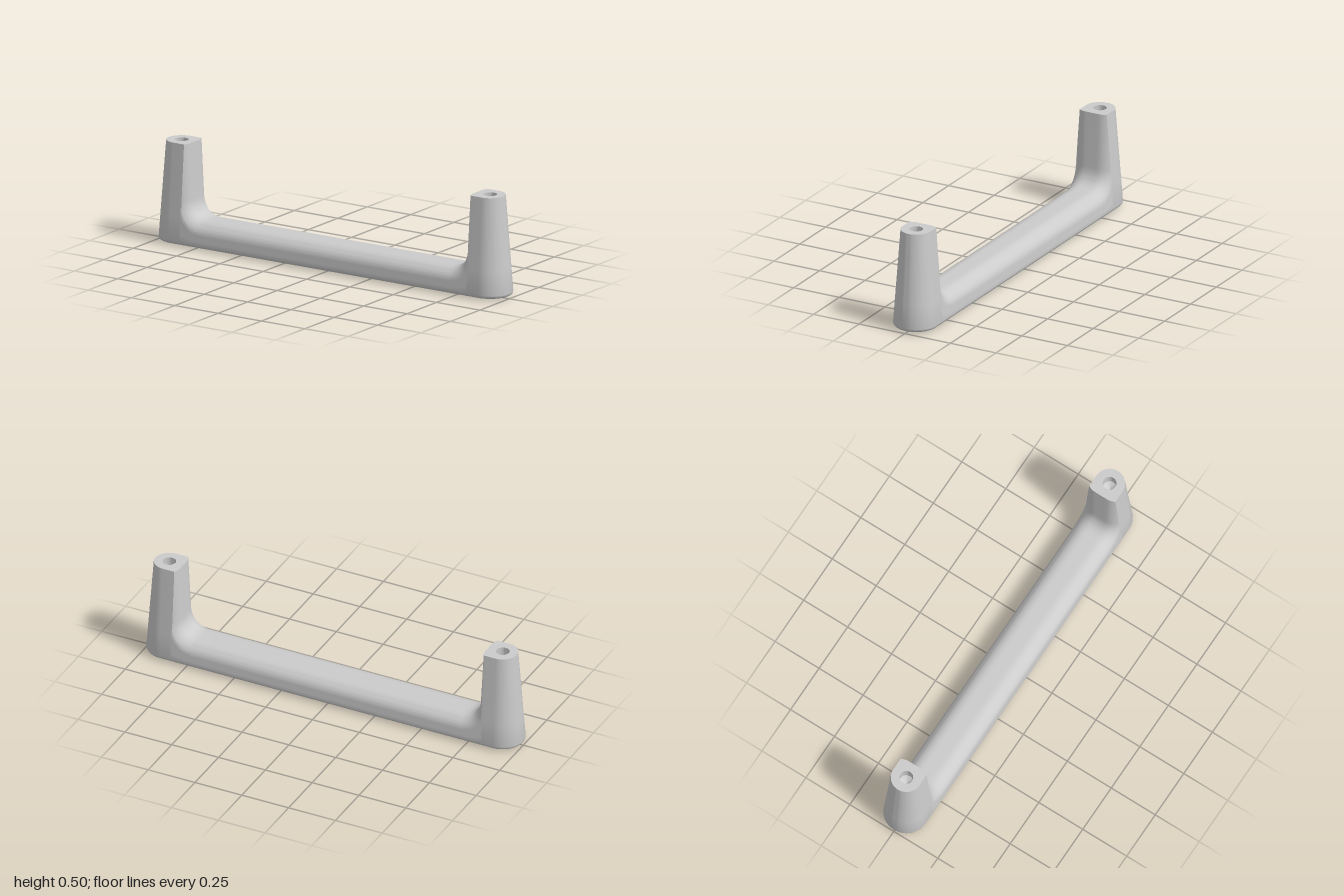
import * as THREE from 'three';
import { toCreasedNormals } from 'three/addons/utils/BufferGeometryUtils.js';

const CORE = 0.89;   // x of each leg axis
const TOP = 0.5;     // height of the mounting faces
const HOLE = 0.033;  // screw hole radius
const ACROSS = 24;   // divisions across the inner surface

// Drafted half width of the handle at a height
const halfWidth = (y) => 0.11 - 0.075 * (y - 0.025);
// How far the inner surface falls away from its flat middle towards the rounded edges
const drop = (z) => {
  const d = Math.min(0.076, Math.max(0, Math.abs(z) - 0.034));
  return 0.076 - Math.sqrt(0.076 ** 2 - d ** 2);
};

// Inner centre line: down one leg, around the bend, along the bar, then mirrored
function innerPath() {
  const v = (x, y) => new THREE.Vector2(x, y);
  const pieces = [
    [new THREE.LineCurve(v(0.815, TOP), v(0.8, 0.225)), 8],
    [new THREE.CubicBezierCurve(v(0.8, 0.225), v(0.797, 0.17), v(0.765, 0.135), v(0.71, 0.135)), 16],
    [new THREE.LineCurve(v(0.71, 0.135), v(0, 0.135)), 8],
  ];
  const half = [];
  pieces.forEach(([curve, n], k) => {
    for (let i = k ? 1 : 0; i <= n; i++) {
      const p = curve.getPoint(i / n), t = curve.getTangent(i / n);
      half.push({ x: p.x, y: p.y, nx: t.y, ny: -t.x });
    }
  });
  const mirrored = half.slice(0, -1).reverse().map((s) => ({ x: -s.x, y: s.y, nx: -s.nx, ny: s.ny }));
  return [...half, ...mirrored];
}

// Point on the inner surface; t runs from -1 (back) to 1 (front)
function innerPoint(s, t) {
  let y = s.y, z = 0;
  for (let k = 0; k < 10; k++) {
    z = t * halfWidth(y);
    y = s.y === TOP ? TOP : s.y - s.ny * drop(z);
  }
  return new THREE.Vector3(s.x - s.nx * drop(z), y, z);
}

// One row of points across the inner surface, front to back
const innerRow = (s) => Array.from({ length: ACROSS + 1 },
  (_, j) => innerPoint(s, Math.cos((j / ACROSS) * Math.PI)));

// Adds the quads between neighbouring columns of points
function addGrid(out, columns) {
  for (let i = 0; i + 1 < columns.length; i++) {
    for (let j = 0; j + 1 < columns[i].length; j++) {
      const a = columns[i][j], b = columns[i + 1][j], c = columns[i + 1][j + 1], d = columns[i][j + 1];
      for (const p of [a, c, b, a, d, c]) out.push(p.x, p.y, p.z);
    }
  }
}

// Half circle of rim points around a leg: back to front on the +x leg, front to back on the other
function legRim(side) {
  const rim = [];
  for (let i = 0; i <= 32; i++) {
    const a = (i / 32) * Math.PI;
    rim.push({ core: side * CORE, dx: side * Math.sin(a), dz: -side * Math.cos(a), y: TOP });
  }
  return rim;
}

export function createModel() {
  const group = new THREE.Group();
  const material = new THREE.MeshStandardMaterial({ color: 0xcccccc });
  const add = (name, geometry, parent = group) => {
    const mesh = new THREE.Mesh(geometry, material);
    mesh.name = name;
    parent.add(mesh);
    return mesh;
  };

  // Crowned inner surface
  const path = innerPath();
  const positions = [];
  addGrid(positions, path.map(innerRow));

  // Outer wall rim: front edge, one leg, back edge, other leg
  const edge = (t) => path.map((s) => {
    const p = innerPoint(s, t);
    return { core: p.x, dx: 0, dz: t, y: p.y };
  });
  const rim = [...edge(1), ...legRim(-1), ...edge(-1).reverse(), ...legRim(1)];
  rim.push(rim[0]);

  // Bottom crown, rounded lower edge and drafted wall, as radius and height
  const base = [[0, 0], [0.05, 0.001], [0.085, 0.006], [0.098, 0.009], [0.104, 0.012], [0.108, 0.017], [0.11, 0.025]];
  addGrid(positions, rim.map(({ core, dx, dz, y }) => {
    const rows = [...base];
    for (let k = 1; k <= 4; k++) {
      const h = 0.025 + (y - 0.025) * (k / 4);
      rows.push([halfWidth(h), h]);
    }
    return rows.map(([r, h]) => new THREE.Vector3(core + dx * r, h, dz * r));
  }));

  const body = new THREE.BufferGeometry();
  body.setAttribute('position', new THREE.Float32BufferAttribute(positions, 3));
  add('handleBody', toCreasedNormals(body, 0.6));

  // Mounting faces with screw holes
  for (const side of [1, -1]) {
    const leg = new THREE.Group();
    leg.name = side > 0 ? 'leftLegEnd' : 'rightLegEnd';
    group.add(leg);

    const r = halfWidth(TOP);
    const shape = new THREE.Shape([
      ...legRim(1).map((p) => new THREE.Vector2(side * (p.core + p.dx * r), -p.dz * r)),
      ...innerRow(path[0]).map((p) => new THREE.Vector2(side * p.x, -p.z)),
    ]);
    shape.holes.push(new THREE.Path().absarc(side * CORE, 0, HOLE, 0, Math.PI * 2, true));
    const face = new THREE.ShapeGeometry(shape, 16);
    face.rotateX(-Math.PI / 2).translate(0, TOP, 0);
    add('mountingFace', face, leg);

    const profile = [[HOLE, 0], [HOLE, -0.06], [0, -0.09]].map(([x, y]) => new THREE.Vector2(x, y));
    const hole = toCreasedNormals(new THREE.LatheGeometry(profile, 32), 0.6);
    add('screwHole', hole, leg).position.set(side * CORE, TOP, 0);
  }
  return group;
}
